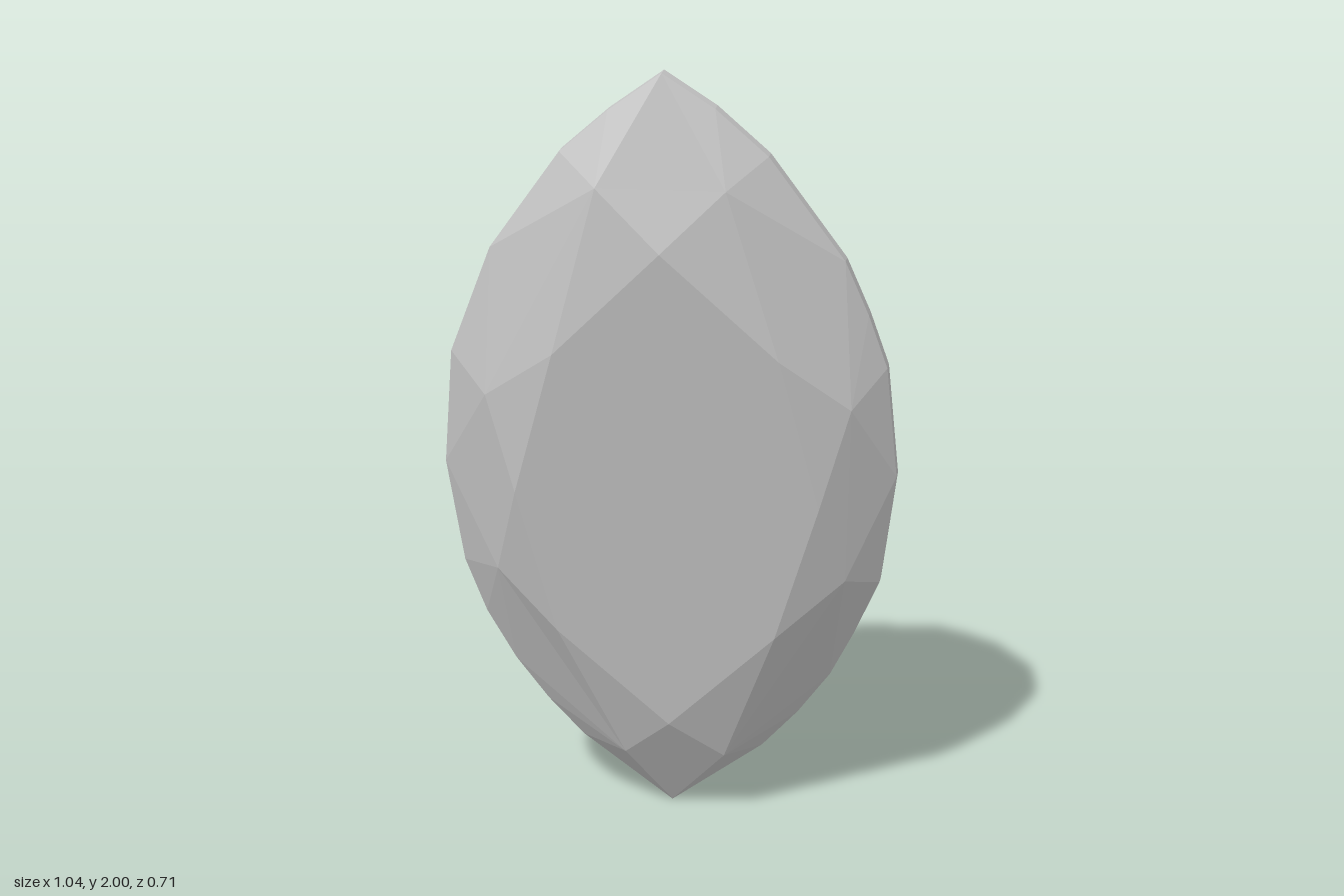
import * as THREE from 'three';
import { mergeVertices } from 'three/addons/utils/BufferGeometryUtils.js';

// Outline points as seen from the front, clockwise from the top tip.
// Every third point of the girdle is the outer corner of a kite facet.
const GIRDLE = [
  [0.03, 2.0], [0.14, 1.92], [0.25, 1.81], [0.41, 1.56], [0.46, 1.425], [0.5, 1.29],
  [0.52, 1.0], [0.48, 0.7], [0.42, 0.55], [0.36, 0.42], [0.28, 0.3], [0.19, 0.19],
  [-0.04, 0.0], [-0.25, 0.2], [-0.33, 0.31], [-0.4, 0.43], [-0.46, 0.57], [-0.5, 0.72],
  [-0.52, 1.0], [-0.48, 1.3], [-0.425, 1.435], [-0.37, 1.57], [-0.2, 1.81], [-0.09, 1.91],
];
const TABLE = [
  [0.03, 1.61], [0.28, 1.35], [0.36, 0.96], [0.25, 0.59],
  [-0.01, 0.32], [-0.26, 0.59], [-0.33, 0.98], [-0.22, 1.35],
];
const MIDS = [
  [0.17, 1.75], [0.43, 1.21], [0.41, 0.74], [0.11, 0.2],
  [-0.13, 0.2], [-0.4, 0.74], [-0.39, 1.22], [-0.11, 1.75],
];
const CENTRE = [-0.005, 1.005];

// Places an outline point at a height above the tilted girdle plane
const onPlane = ([x, y], height) =>
  new THREE.Vector3(x, y, 0.045 + 0.255 * (y - 1) - 0.085 * x + height);

// Ring of the pavilion: the girdle shrunk to its centre and sunk along the stone's axis
function sunk([x, y], scale, depth) {
  const p = onPlane([
    CENTRE[0] + (x - CENTRE[0]) * scale,
    CENTRE[1] + (y - CENTRE[1]) * scale,
  ], 0);
  return p.addScaledVector(new THREE.Vector3(0.085, -0.255, 1).normalize(), -depth);
}

function makeMesh(name, triangles, smooth) {
  let geometry = new THREE.BufferGeometry().setFromPoints(triangles.flat());
  if (smooth) geometry = mergeVertices(geometry);
  geometry.computeVertexNormals();
  const mesh = new THREE.Mesh(geometry, new THREE.MeshStandardMaterial({ color: 0xcccccc, flatShading: !smooth }));
  mesh.name = name;
  return mesh;
}

// Band of triangles between a front ring and a ring behind it
function band(front, back) {
  const triangles = [];
  const n = front.length;
  for (let i = 0; i < n; i++) {
    const j = (i + 1) % n;
    triangles.push([front[i], front[j], back[i]], [front[j], back[j], back[i]]);
  }
  return triangles;
}

export function createModel() {
  const group = new THREE.Group();
  group.name = 'marquiseGem';

  const table = TABLE.map((p) => onPlane(p, 0.15));
  const mids = MIDS.map((p) => onPlane(p, 0.1));
  const upper = GIRDLE.map((p) => onPlane(p, 0.015));
  const lower = GIRDLE.map((p) => onPlane(p, -0.015));

  // Flat table on top of the crown
  const tableFaces = [];
  for (let i = 1; i < 7; i++) tableFaces.push([table[0], table[i + 1], table[i]]);
  group.add(makeMesh('table', tableFaces, false));

  // Star, kite and girdle facets of the crown
  const stars = [], kites = [], halves = [];
  for (let i = 0; i < 8; i++) {
    const next = (i + 1) % 8;
    const mid = mids[i], before = mids[(i + 7) % 8];
    stars.push([table[i], table[next], mid]);
    kites.push([table[i], mid, before], [before, mid, upper[i * 3]]);
    for (let k = 0; k < 3; k++) {
      halves.push([mid, upper[(i * 3 + k + 1) % 24], upper[i * 3 + k]]);
    }
  }
  group.add(makeMesh('starFacets', stars, false));
  group.add(makeMesh('kiteFacets', kites, false));
  group.add(makeMesh('girdleFacets', halves, false));

  // Thin edge around the stone
  group.add(makeMesh('girdle', band(upper, lower), false));

  // Smooth pavilion running down to the culet point at the back
  const ring = GIRDLE.map((p) => sunk(p, 0.27, 0.335));
  const culet = sunk(CENTRE, 0, 0.42);
  const pavilion = band(lower, ring);
  ring.forEach((p, i) => pavilion.push([p, ring[(i + 1) % 24], culet]));
  group.add(makeMesh('pavilion', pavilion, true));

  return group;
}
